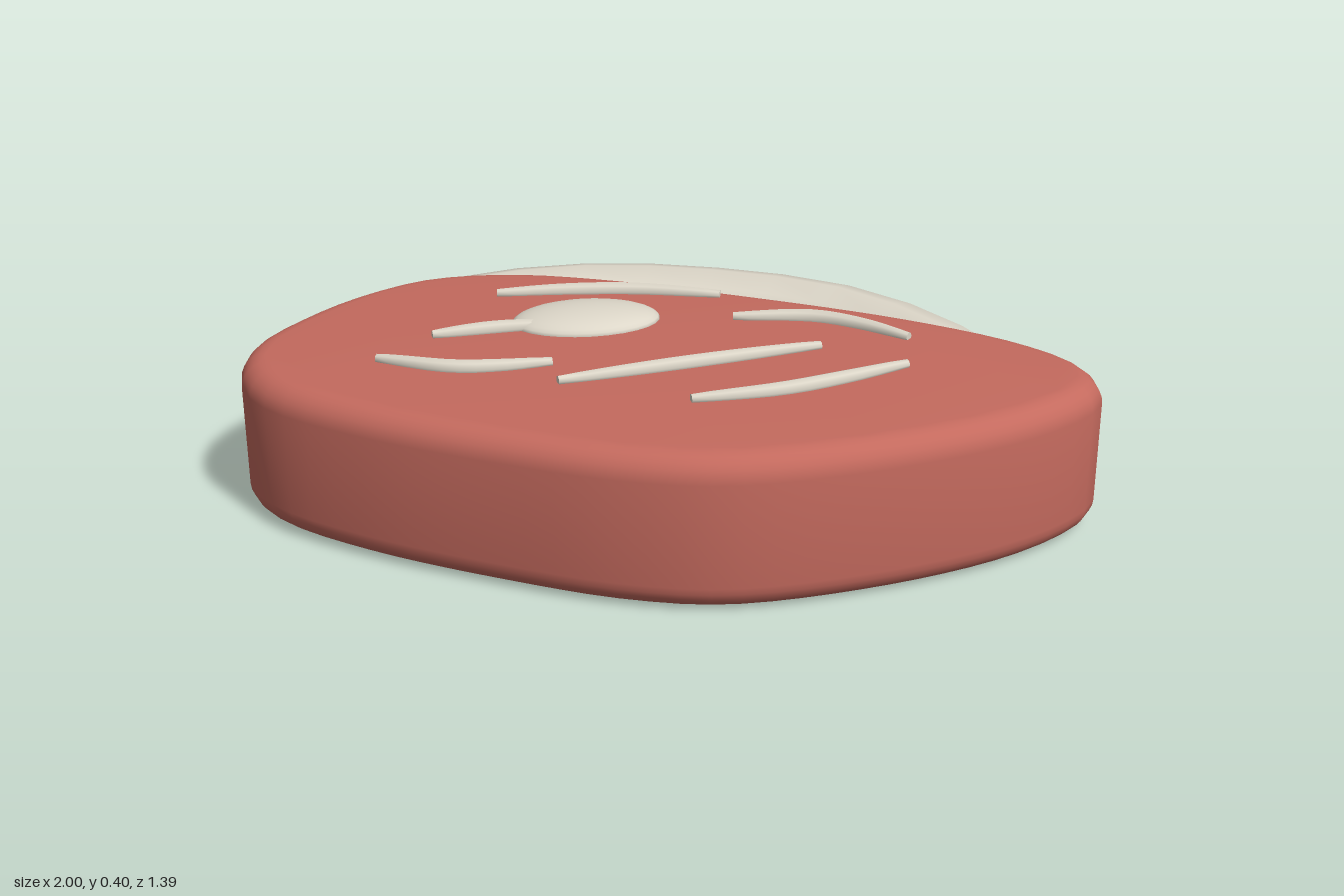
import * as THREE from 'three';
import { toCreasedNormals } from 'three/addons/utils/BufferGeometryUtils.js';

// Capped tube along a level curve through [x, z] points, swelling from rEnd to rMid
function taperedTube(points, y, rEnd, rMid, segments, sides) {
  const curve = new THREE.CatmullRomCurve3(points.map(([x, z]) => new THREE.Vector3(x, y, z)));
  const pos = [], index = [];
  for (let i = 0; i <= segments; i++) {
    const t = i / segments;
    const c = curve.getPointAt(t), d = curve.getTangentAt(t);
    const r = rEnd + (rMid - rEnd) * Math.pow(Math.sin(Math.PI * t), 0.8);
    for (let j = 0; j < sides; j++) {
      const a = (j / sides) * Math.PI * 2;
      pos.push(c.x - d.z * r * Math.cos(a), c.y + r * Math.sin(a), c.z + d.x * r * Math.cos(a));
    }
  }
  for (let i = 0; i < segments; i++) {
    for (let j = 0; j < sides; j++) {
      const k = (j + 1) % sides;
      const a = i * sides + j, b = i * sides + k;
      index.push(a, a + sides, b, b, a + sides, b + sides);
    }
  }
  const last = segments * sides;
  for (let j = 1; j < sides - 1; j++) {
    index.push(0, j, j + 1, last, last + j + 1, last + j);
  }
  const geo = new THREE.BufferGeometry();
  geo.setAttribute('position', new THREE.Float32BufferAttribute(pos, 3));
  geo.setIndex(index);
  return toCreasedNormals(geo, 0.9);
}

export function createModel() {
  const group = new THREE.Group();
  const meat = new THREE.MeshStandardMaterial({ name: 'red meat', color: 0xc46a5e });
  const fat = new THREE.MeshStandardMaterial({ name: 'cream fat', color: 0xdcd6c8, side: THREE.DoubleSide });
  const add = (name, geo, mat) => {
    const mesh = new THREE.Mesh(geo, mat);
    mesh.name = name;
    group.add(mesh);
    return mesh;
  };

  // Slab: teardrop outline with rounded edges
  const outline = [
    [1.0, 0.0], [0.95, -0.11], [0.8, -0.215], [0.5, -0.305], [0, -0.365], [-0.3, -0.38],
    [-0.55, -0.35], [-0.75, -0.25], [-0.87, -0.08], [-0.94, 0.12], [-0.965, 0.3], [-0.915, 0.45],
    [-0.8, 0.55], [-0.55, 0.63], [-0.2, 0.68], [0.08, 0.693], [0.3, 0.655], [0.6, 0.485],
    [0.85, 0.27], [0.97, 0.1],
  ];
  const loop = new THREE.CatmullRomCurve3(outline.map(([x, z]) => new THREE.Vector3(x, -z, 0)), true);
  const shape = new THREE.Shape(loop.getSpacedPoints(72).slice(0, -1).map((p) => new THREE.Vector2(p.x, p.y)));
  const bevel = 0.06;
  const slab = new THREE.ExtrudeGeometry(shape, {
    depth: 0.36 - 2 * bevel, bevelThickness: bevel, bevelSize: bevel, bevelOffset: -bevel, bevelSegments: 6,
  });
  slab.rotateX(-Math.PI / 2).translate(0, bevel, 0);
  slab.deleteAttribute('uv');
  add('meatSlab', toCreasedNormals(slab, 0.7), meat);

  // Fat rind along the back edge
  add('fatRind', taperedTube([
    [-0.92, -0.085], [-0.71, -0.335], [-0.42, -0.49], [-0.05, -0.54], [0.3, -0.51], [0.58, -0.36], [0.83, -0.125],
  ], 0.18, 0.105, 0.16, 12, 12), fat);

  // Marbling streaks on the top face
  const streaks = [
    [[-0.51, -0.145], [-0.36, -0.21], [-0.18, -0.265], [0.03, -0.29]],
    [[0.1, -0.145], [0.29, -0.195], [0.41, -0.175], [0.535, -0.125]],
    [[-0.62, 0.345], [-0.43, 0.35], [-0.33, 0.315], [-0.225, 0.255]],
    [[-0.175, 0.36], [0.09, 0.17], [0.345, -0.015]],
    [[0.14, 0.38], [0.32, 0.275], [0.44, 0.17], [0.56, 0.045]],
    [[-0.555, 0.17], [-0.42, 0.085], [-0.29, 0.02]],
  ];
  streaks.forEach((pts, i) => {
    add(`marblingStreak${i + 1}`, taperedTube(pts, 0.366, 0.011, 0.02, 12, 8), fat);
  });

  // Oval fat spot
  const spot = add('fatSpot', new THREE.SphereGeometry(1, 28, 16), fat);
  spot.scale.set(0.18, 0.037, 0.115);
  spot.rotation.y = 0.44;
  spot.position.set(-0.24, 0.36, -0.04);

  return group;
}
